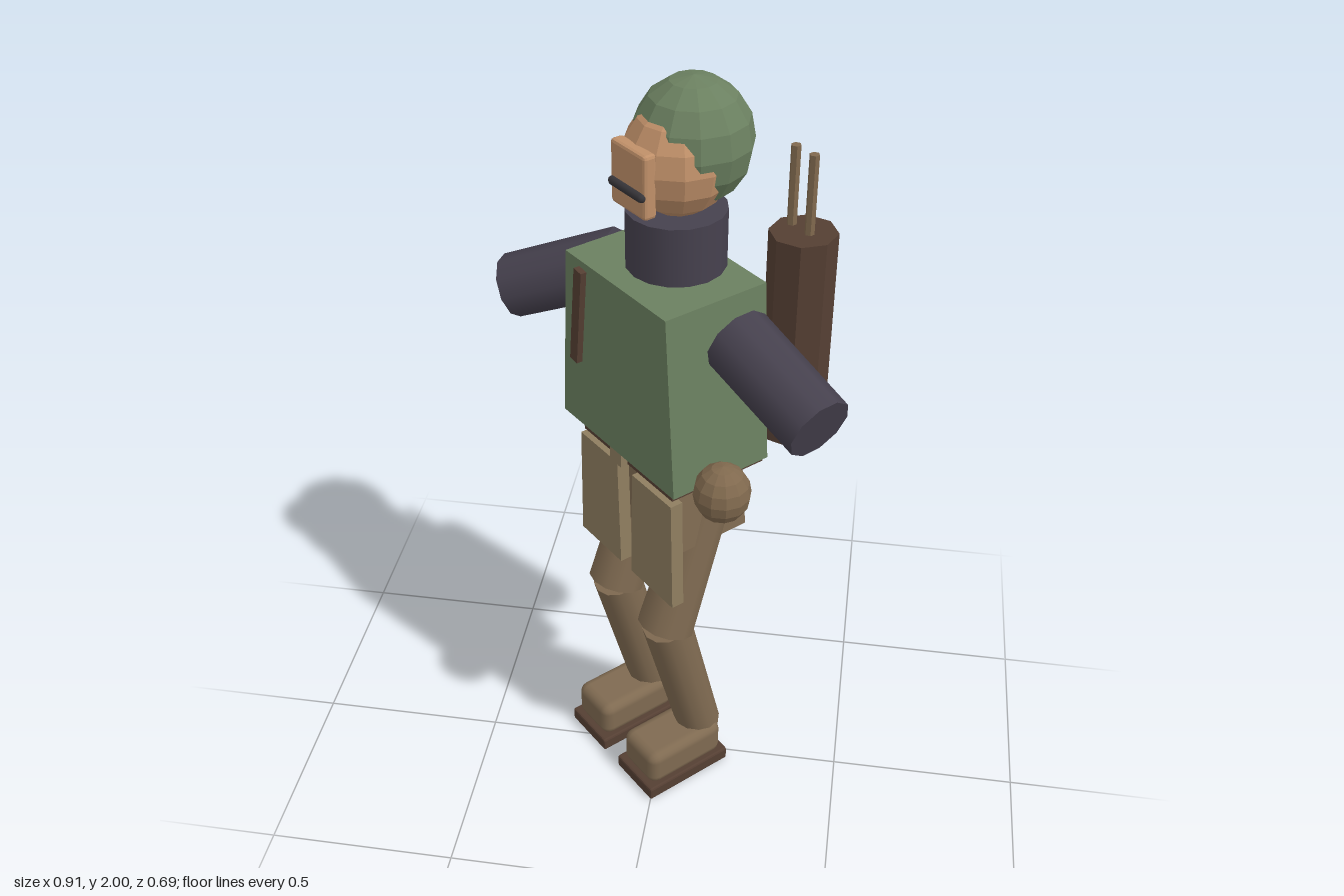
import * as THREE from 'three';
import { RoundedBoxGeometry } from 'three/addons/geometries/RoundedBoxGeometry.js';

const mat = (name, color, flatShading = false) => {
  const m = new THREE.MeshStandardMaterial({ color, flatShading });
  m.name = name;
  return m;
};

export function createModel() {
  const green = mat('green', 0x6b8060, true);
  const sleeve = mat('dark violet grey', 0x46414e);
  const brown = mat('dark brown', 0x553f33, true);
  const tan = mat('tan', 0x7f6a51);
  const khaki = mat('khaki', 0x8f7e60, true);
  const skin = mat('skin', 0xc09069, true);
  const dark = mat('charcoal', 0x38363a);
  const handTan = mat('hand tan', 0x80694e, true);

  const model = new THREE.Group();
  model.name = 'figure';
  // The figure is built facing +z, then turned towards its right
  const body = new THREE.Group();
  body.name = 'body';
  body.rotation.y = -Math.PI / 4;
  model.add(body);

  const MID = -0.038; // sideways centre line of the body

  const add = (name, geo, material, x, y, z) => {
    const m = new THREE.Mesh(geo, material);
    m.name = name;
    m.position.set(x, y, z);
    body.add(m);
    return m;
  };
  // Box whose top is narrowed by sx and sz
  const taperedBox = (w, h, d, sx, sz = 1) => {
    const g = new THREE.BoxGeometry(w, h, d);
    const p = g.attributes.position;
    for (let i = 0; i < p.count; i++) {
      if (p.getY(i) > 0) p.setXYZ(i, p.getX(i) * sx, p.getY(i), p.getZ(i) * sz);
    }
    g.computeVertexNormals();
    return g;
  };
  const ellipsoid = (r, ry, seg, rings) => new THREE.SphereGeometry(r, seg, rings).scale(1, ry / r, 1);
  // Cylinder between two points
  const limb = (name, a, b, ra, rb, sides, material) => {
    const A = new THREE.Vector3(...a), B = new THREE.Vector3(...b);
    const dir = A.clone().sub(B);
    const c = A.clone().add(B).multiplyScalar(0.5);
    const m = add(name, new THREE.CylinderGeometry(ra, rb, dir.length(), sides), material, c.x, c.y, c.z);
    m.quaternion.setFromUnitVectors(new THREE.Vector3(0, 1, 0), dir.normalize());
  };

  // Torso, collar and chest strap
  add('torso', taperedBox(0.467, 0.475, 0.286, 0.85), green, MID, 1.3175, -0.032);
  add('collar', new THREE.CylinderGeometry(0.12, 0.12, 0.15, 16), sleeve, MID, 1.625, -0.066);
  add('chestStrap', new THREE.BoxGeometry(0.03, 0.265, 0.02), brown, -0.18, 1.405, 0.117).rotation.z = -0.12;

  // Head
  add('head', ellipsoid(0.13, 0.135, 12, 8), skin, MID, 1.82, -0.07);
  add('helmet', ellipsoid(0.142, 0.15, 12, 8), green, MID, 1.85, -0.11);
  add('facePlate', new RoundedBoxGeometry(0.13, 0.153, 0.034, 1, 0.008), skin, MID, 1.802, 0.052);
  add('faceBar', new THREE.CapsuleGeometry(0.011, 0.108, 4, 8).rotateZ(Math.PI / 2), dark, MID, 1.781, 0.07);

  // Belt, buckle and hips
  add('belt', new THREE.BoxGeometry(0.378, 0.055, 0.281), brown, MID - 0.002, 1.0575, -0.06);
  add('buckle', new THREE.BoxGeometry(0.048, 0.06, 0.02), khaki, -0.062, 1.057, 0.09);
  add('hips', taperedBox(0.332, 0.21, 0.225, 0.9, 0.95), tan, MID, 0.935, -0.058);

  // Arms and the single hand
  limb('leftArm', [0.188, 1.457, -0.071], [0.476, 1.368, -0.076], 0.085, 0.082, 10, sleeve);
  limb('rightArm', [-0.262, 1.457, -0.067], [-0.486, 1.345, 0.118], 0.085, 0.082, 10, sleeve);
  add('hand', ellipsoid(0.068, 0.074, 12, 8), handTan, 0.324, 1.165, 0.069);

  // Legs, boots and hanging front panels
  for (const s of [1, -1]) {
    const side = s > 0 ? 'left' : 'right';
    const x = MID + s * 0.114;
    limb(side + 'Thigh', [x, 0.985, -0.105], [x, 0.553, 0.045], 0.062, 0.077, 12, tan);
    limb(side + 'Shin', [x, 0.555, 0.043], [x, 0.12, -0.07], 0.066, 0.062, 12, tan);
    add(side + 'Boot', new RoundedBoxGeometry(0.146, 0.11, 0.245, 2, 0.028), tan, x, 0.09, 0.02);
    add(side + 'Sole', new RoundedBoxGeometry(0.162, 0.04, 0.27, 1, 0.006), brown, x, 0.02, 0.02);
    add(side + 'FrontPanel', taperedBox(0.18, 0.32, 0.035, 0.9), khaki, MID + s * 0.113, 0.86, 0.0725);
  }

  // Back canister with two rods
  add('canister', new THREE.CylinderGeometry(0.081, 0.081, 0.55, 8).rotateY(Math.PI / 4), brown, 0.156, 1.375, -0.283);
  for (const dx of [-0.031, 0.031]) {
    add('rod', new THREE.CylinderGeometry(0.012, 0.012, 0.25, 6), handTan, 0.142 + dx, 1.72, -0.285);
  }
  return model;
}
